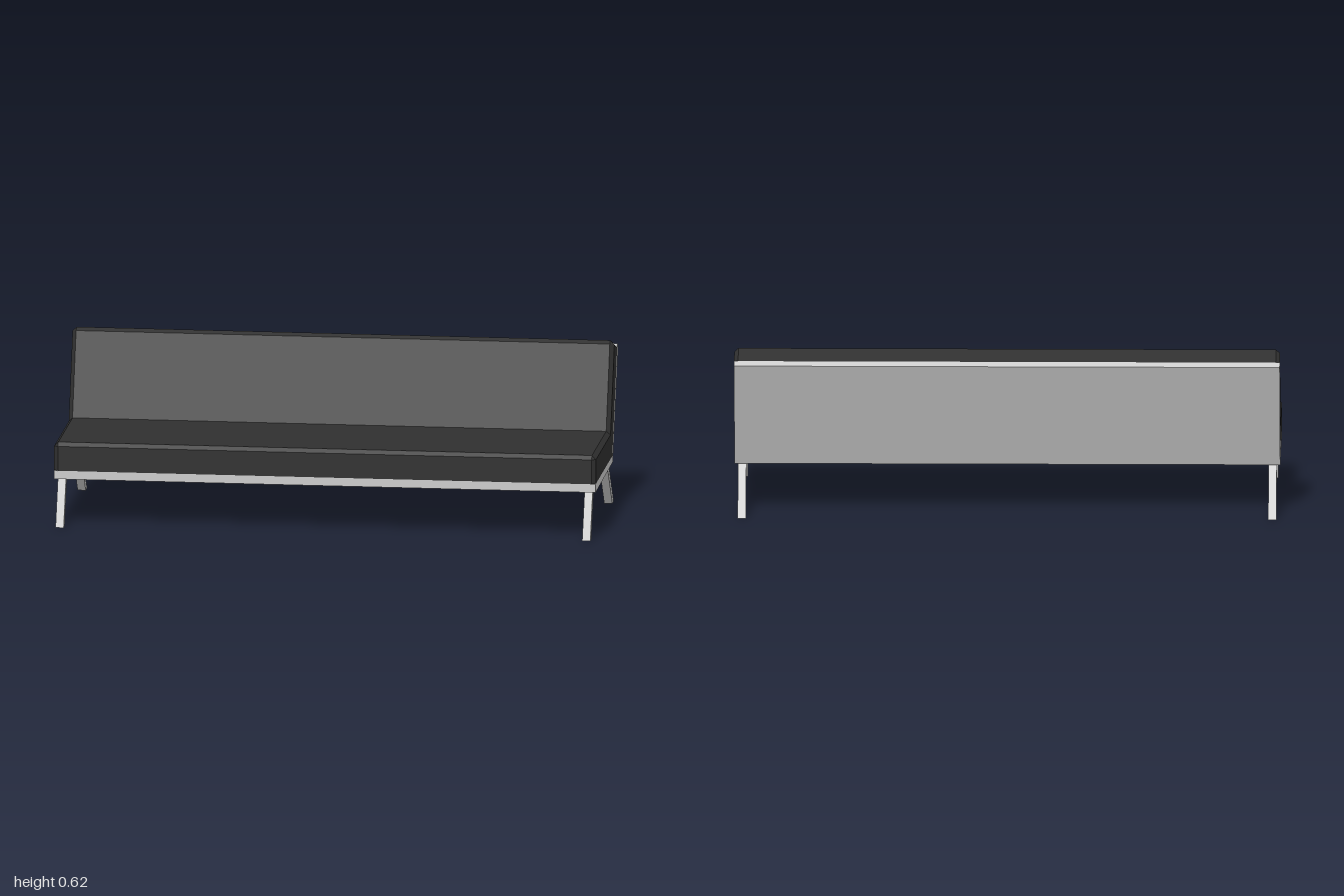
import * as THREE from 'three';

const grey = new THREE.MeshStandardMaterial({ color: 0xcccccc, flatShading: true });
const dark = new THREE.MeshStandardMaterial({ color: 0x303030, flatShading: true });

// Joins side profiles along x; each section is { x, pts: [[z, y], ...] }, counter-clockwise in (z, y)
function loft(sections) {
  const pos = [];
  const put = (s, i) => pos.push(s.x, s.pts[i][1], s.pts[i][0]);
  const n = sections[0].pts.length;
  for (let k = 0; k < sections.length - 1; k++) {
    const a = sections[k], b = sections[k + 1];
    for (let i = 0; i < n; i++) {
      const j = (i + 1) % n;
      put(a, i); put(b, j); put(a, j);
      put(a, i); put(b, i); put(b, j);
    }
  }
  // end caps
  const first = sections[0], last = sections[sections.length - 1];
  const contour = first.pts.map(([z, y]) => new THREE.Vector2(z, y));
  for (const [i, j, k] of THREE.ShapeUtils.triangulateShape(contour, [])) {
    put(first, i); put(first, j); put(first, k);
    put(last, k); put(last, j); put(last, i);
  }
  const geo = new THREE.BufferGeometry();
  geo.setAttribute('position', new THREE.Float32BufferAttribute(pos, 3));
  geo.computeVertexNormals();
  return geo;
}

const prism = (x0, x1, pts) => loft([{ x: x0, pts }, { x: x1, pts }]);

export function createModel() {
  const group = new THREE.Group();
  const add = (name, geo, mat) => {
    const mesh = new THREE.Mesh(geo, mat);
    mesh.name = name;
    group.add(mesh);
  };

  // bent panel under the seat and behind the back
  add('frame', prism(-1, 1, [
    [0.317, 0.171], [0.317, 0.202], [-0.187, 0.202],
    [-0.34, 0.592], [-0.368, 0.58], [-0.205, 0.176],
  ]), grey);

  // one-piece cushion with chamfered edges; the end profile is inset
  const body = [
    [0.317, 0.202], [0.317, 0.293], [0.303, 0.307], [-0.126, 0.307],
    [-0.235, 0.611], [-0.254, 0.621], [-0.34, 0.592], [-0.187, 0.202],
  ];
  const end = [
    [0.303, 0.202], [0.303, 0.292], [0.303, 0.292], [-0.136, 0.292],
    [-0.25, 0.606], [-0.25, 0.606], [-0.335, 0.578], [-0.187, 0.202],
  ];
  add('cushion', loft([
    { x: -1, pts: end }, { x: -0.985, pts: body },
    { x: 0.985, pts: body }, { x: 1, pts: end },
  ]), dark);

  // splayed legs
  const legs = {
    FrontLeg: [[0.34, 0], [0.37, 0], [0.297, 0.173], [0.267, 0.173]],
    BackLeg: [[-0.338, 0], [-0.297, 0], [-0.14, 0.177], [-0.181, 0.177]],
  };
  for (const [name, pts] of Object.entries(legs)) {
    add('left' + name, prism(0.957, 0.987, pts), grey);
    add('right' + name, prism(-0.987, -0.957, pts), grey);
  }
  return group;
}
